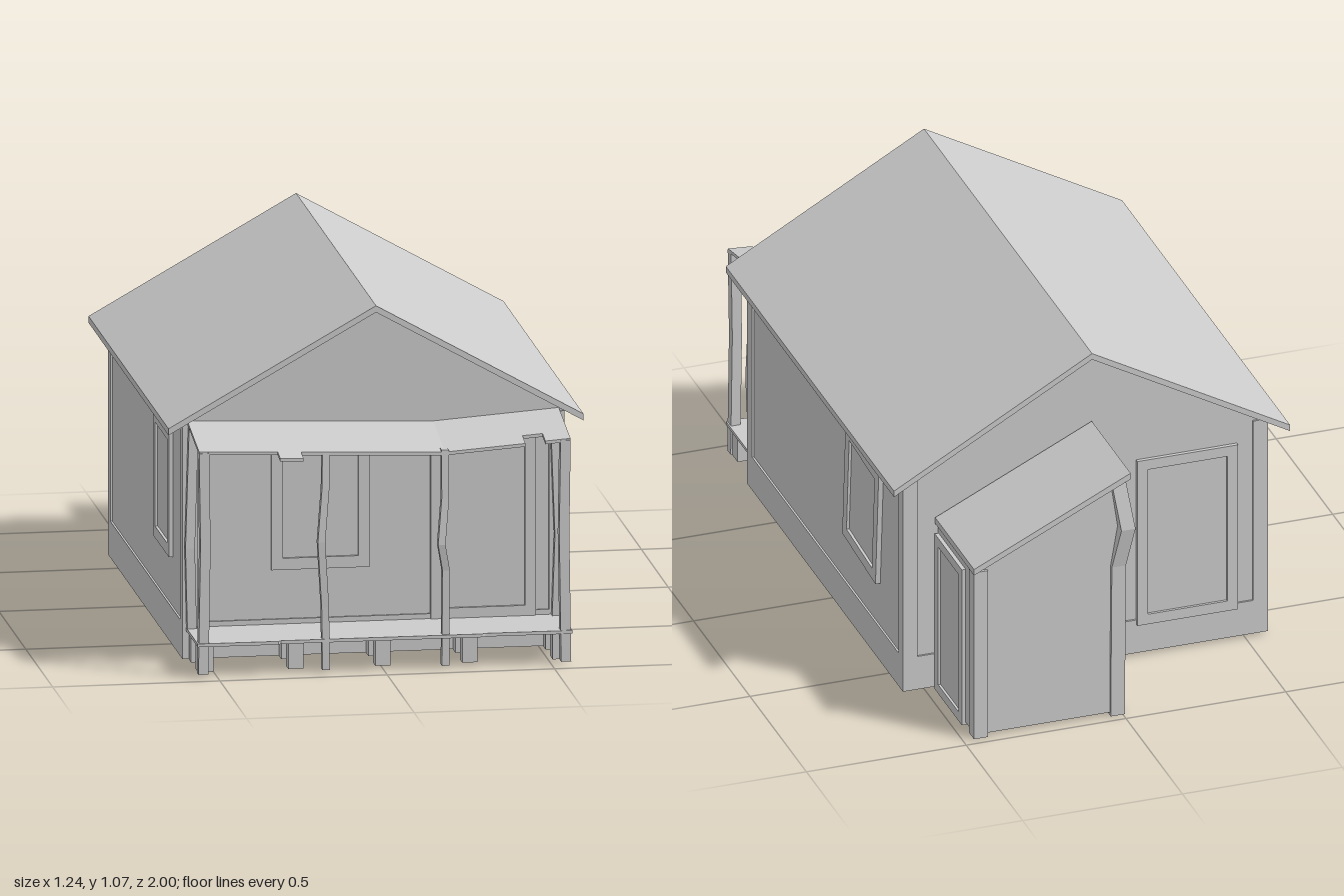
import * as THREE from 'three';

const mat = new THREE.MeshStandardMaterial({ color: 0xcccccc, flatShading: true, side: THREE.DoubleSide });

export function createModel() {
  const model = new THREE.Group();

  const add = (name, geo, parent = model) => {
    const mesh = new THREE.Mesh(geo, mat);
    mesh.name = name;
    parent.add(mesh);
    return mesh;
  };
  // box given by its limits on each axis
  const box = (name, x0, x1, y0, y1, z0, z1) => {
    const g = new THREE.BoxGeometry(x1 - x0, y1 - y0, z1 - z0);
    return add(name, g.translate((x0 + x1) / 2, (y0 + y1) / 2, (z0 + z1) / 2));
  };
  const shapeOf = pts => new THREE.Shape(pts.map(p => new THREE.Vector2(p[0], p[1])));
  // outline in x and y, extruded from z0 to z1
  const prism = (name, pts, z0, z1) => add(name,
    new THREE.ExtrudeGeometry(shapeOf(pts), { depth: z1 - z0, bevelEnabled: false }).translate(0, 0, z0));

  // frame standing through a wall, centred on its own origin
  const frame = (name, w, h, border, depth, pos, turn = 0, tilt = 0) => {
    const rect = (a, b) => [[-a, -b], [a, -b], [a, b], [-a, b]];
    const s = shapeOf(rect(w / 2, h / 2));
    s.holes.push(new THREE.Path(rect(w / 2 - border, h / 2 - border).reverse().map(p => new THREE.Vector2(...p))));
    const group = new THREE.Group();
    group.name = name;
    add(name + 'Frame', new THREE.ExtrudeGeometry(s, { depth, bevelEnabled: false }).translate(0, 0, -depth / 2), group);
    add(name + 'Panel', new THREE.BoxGeometry(w - 2 * border, h - 2 * border, depth * 0.5), group);
    group.position.set(...pos);
    group.rotation.set(0, turn, tilt);
    model.add(group);
  };

  // post whose rows are [y, x, z], from top to bottom
  const bentPost = (name, w, d, rows) => {
    const g = new THREE.BoxGeometry(w, 1, d, 1, rows.length - 1, 1);
    const p = g.attributes.position;
    for (let i = 0; i < p.count; i++) {
      const [y, x, z] = rows[Math.round((0.5 - p.getY(i)) * (rows.length - 1))];
      p.setXYZ(i, p.getX(i) + x, y, p.getZ(i) + z);
    }
    add(name, g);
  };

  // main walls, open underneath
  const W = 0.565, zB = -0.635, zF = 0.735, t = 0.01;
  const gable = [[-W, 0.01], [W, 0.01], [W, 0.73], [0, 1.05], [-W, 0.73]];
  prism('frontWall', gable, zF - t, zF);
  prism('backWall', gable, zB, zB + t);
  for (const s of [-1, 1]) {
    const x0 = s > 0 ? W - t : -W;
    box('sideWall', x0, x0 + t, 0.01, 0.73, zB, zF);
  }

  // main roof
  prism('mainRoof', [[-0.62, 0.70], [0, 1.05], [0.62, 0.70], [0.62, 0.72], [0, 1.07], [-0.62, 0.72]], -0.70, 0.79);

  // base boards and corner boards
  const e = 0.006;
  for (const s of [-1, 1]) {
    const a = s * W, b = s * (W + e);
    const lo = Math.min(a, b), hi = Math.max(a, b);
    box('sideBaseBoard', lo, hi, 0.01, 0.12, zB, zF);
    for (const [z0, z1] of [[zB - e, -0.6], [0.695, zF + e]]) box('cornerBoard', lo, hi, 0.01, 0.72, z0, z1);
    for (const z of [zB - e, zF]) {
      box('cornerBoard', s > 0 ? W - 0.04 : -W, s > 0 ? W : 0.04 - W, 0.01, 0.72, z, z + e);
    }
  }
  for (const z of [zB - e, zF]) box('endBaseBoard', -W, W, 0.01, 0.12, z, z + e);

  // main windows and doors
  frame('frontWindow', 0.295, 0.38, 0.035, 0.034, [-0.158, 0.46, zF - 0.005]);
  frame('frontDoor', 0.315, 0.55, 0.033, 0.034, [0.328, 0.378, zF - 0.005]);
  frame('backDoor', 0.315, 0.55, 0.033, 0.034, [-0.318, 0.378, zB + 0.005]);
  frame('leftWindow', 0.295, 0.38, 0.035, 0.034, [W - 0.002, 0.462, -0.29], Math.PI / 2, -0.075);
  frame('rightWindow', 0.295, 0.385, 0.035, 0.034, [-W + 0.005, 0.462, 0.38], Math.PI / 2);

  // lean-to at the back with a single slope
  const under = x => 0.79 - 0.48 * (x + 0.02);
  const aL = 0, aR = 0.46, aB = -0.965;
  prism('annexBackWall', [[aL, 0.01], [aR, 0.01], [aR, under(aR)], [aL, under(aL)]], aB, aB + t);
  box('annexRightWall', aL, aL + t, 0.01, under(aL + t), aB, zB);
  box('annexLeftWall', aR - t, aR, 0.01, under(aR), aB, zB);
  prism('annexRoof', [[-0.02, under(-0.02)], [0.47, under(0.47)], [0.47, under(0.47) + 0.02], [-0.02, 0.81]], -0.985, -0.64);
  frame('annexDoor', 0.24, 0.52, 0.03, 0.03, [aR - 0.003, 0.262, -0.762], Math.PI / 2);
  frame('annexWindow', 0.19, 0.25, 0.026, 0.03, [aL + 0.005, 0.485, -0.825], Math.PI / 2, 0.03);
  box('annexPost', 0.422, 0.466, 0, under(0.466), -0.973, -0.93);
  bentPost('annexBentPost', 0.044, 0.042,
    [[0.78, 0.014, -0.956], [0.63, -0.008, -0.979], [0.5, 0.014, -0.956], [0, 0.016, -0.952]]);

  // porch deck and its short legs
  prism('porchDeck', [[-0.56, -0.735], [0.56, -0.735], [0.56, -0.96], [0.3, -0.957], [0.29, -0.963],
    [-0.31, -0.957], [-0.32, -0.964], [-0.56, -0.96]], 0, 0.01)
    .geometry.rotateX(-Math.PI / 2).translate(0, 0.095, 0);
  for (const x of [-0.53, -0.26, 0, 0.26, 0.53]) {
    box('deckLeg', x - 0.023, x + 0.023, 0.01, 0.096, 0.875, 0.92);
    box('deckLeg', x - 0.023, x + 0.023, 0.01, 0.096, 0.75, 0.79);
  }

  // porch posts, some of them bent
  for (const s of [-1, 1]) {
    bentPost('porchCornerPost', 0.03, 0.03,
      [[0.68, s * 0.54, 0.942], [0.4, s * 0.536, 0.942], [0.01, s * 0.542, 0.94]]);
    bentPost('porchWallPost', 0.028, 0.02,
      [[0.71, s * 0.54, 0.752], [0.35, s * 0.552, 0.76], [0.1, s * 0.545, 0.752]]);
  }
  bentPost('porchBentPost', 0.022, 0.024,
    [[0.67, -0.176, 0.945], [0.56, -0.178, 0.95], [0.4, -0.191, 0.955], [0.2, -0.178, 0.945], [0.01, -0.175, 0.94]]);
  bentPost('porchBentPost', 0.022, 0.024,
    [[0.665, 0.18, 0.945], [0.52, 0.18, 0.95], [0.38, 0.168, 0.958], [0.3, 0.183, 0.945], [0.01, 0.182, 0.94]]);

  // sagging porch roof: strips across x, each [x0, x1, front z], with a tab and a notch
  const roofY = (x, z) => {
    const sag = x < 0.18 ? (x + 0.555) / 0.735 : (0.555 - x) / 0.375;
    return 0.728 - 0.027 * sag - 0.2 * (z - 0.74);
  };
  const strips = [[-0.555, -0.32, 0.953], [-0.32, -0.25, 1.0], [-0.25, 0.18, 0.955],
    [0.18, 0.42, 0.955], [0.42, 0.48, 0.9], [0.48, 0.555, 0.953]];
  for (const [x0, x1, z1] of strips) {
    const g = new THREE.BoxGeometry(x1 - x0, 0.01, z1 - 0.735).translate((x0 + x1) / 2, 0, (0.735 + z1) / 2);
    const p = g.attributes.position;
    for (let i = 0; i < p.count; i++) p.setY(i, p.getY(i) - 0.005 + roofY(p.getX(i), p.getZ(i)));
    g.computeVertexNormals();
    add('porchRoof', g);
  }
  return model;
}
